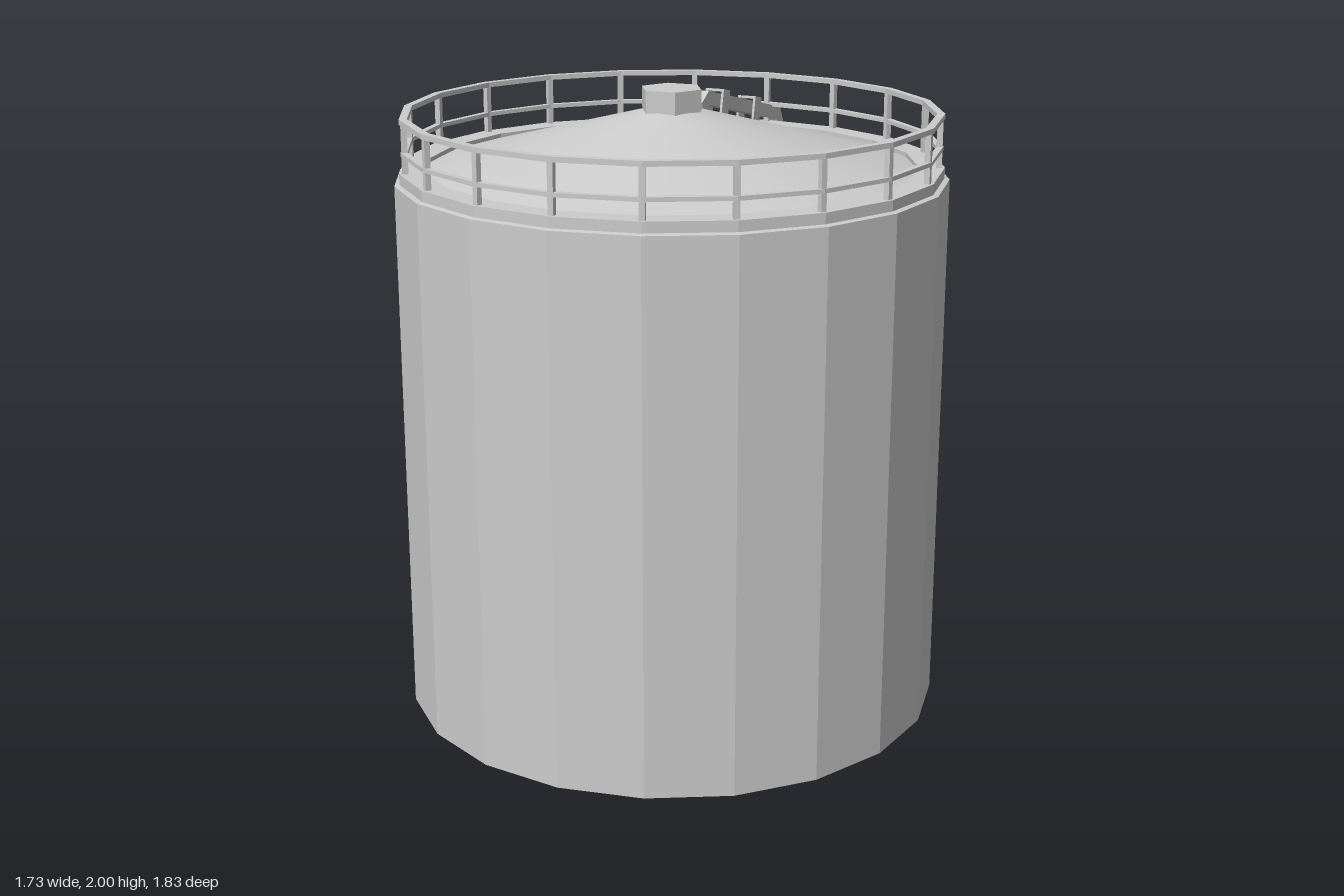
import * as THREE from 'three';

const SIDES = 20;
const flat = new THREE.MeshStandardMaterial({ color: 0xcccccc, flatShading: true, side: THREE.DoubleSide });
const smooth = new THREE.MeshStandardMaterial({ color: 0xcccccc, side: THREE.DoubleSide });

function add(parent, name, geometry, material = flat) {
  const mesh = new THREE.Mesh(geometry, material);
  mesh.name = name;
  parent.add(mesh);
  return mesh;
}

const toPoints = (pairs) => pairs.map(([a, b]) => new THREE.Vector2(a, b));
const ring = (pairs) => new THREE.LatheGeometry(toPoints(pairs), SIDES);

// Closed ring of rectangular section
const band = (r0, r1, y0, y1) => ring([[r0, y0], [r1, y0], [r1, y1], [r0, y1], [r0, y0]]);

// Outline extruded symmetrically about its own plane
function slab(pairs, depth) {
  const g = new THREE.ExtrudeGeometry(new THREE.Shape(toPoints(pairs)), { depth, bevelEnabled: false });
  return g.translate(0, 0, -depth / 2);
}

export function createModel() {
  const model = new THREE.Group();
  model.name = 'storageTank';

  // The tank sits slightly forward, as the pipe hangs off its back
  const tank = new THREE.Group();
  tank.name = 'tank';
  tank.position.z = 0.047;
  model.add(tank);

  // Shell open at the bottom, with a narrow ledge under the deck
  add(tank, 'shell', ring([[0.866, 0.01], [0.866, 1.728], [0.845, 1.732]]));
  add(tank, 'deck', band(0.77, 0.85, 1.732, 1.765));

  // Shallow conical roof
  const roof = new THREE.ConeGeometry(0.772, 0.204, SIDES, 4, true);
  add(tank, 'roof', roof.translate(0, 1.853, 0), smooth);

  // Hexagonal vent cap with corners on the x axis
  const cap = new THREE.CylinderGeometry(0.1, 0.1, 0.072, 6).rotateY(Math.PI / 2);
  add(tank, 'ventCap', cap.translate(0, 1.964, 0));

  // Railing: two rails and a post at every corner
  const railing = new THREE.Group();
  railing.name = 'railing';
  tank.add(railing);
  add(railing, 'topRail', band(0.82, 0.845, 1.916, 1.932));
  add(railing, 'midRail', band(0.822, 0.843, 1.818, 1.831));
  const postGeometry = new THREE.BoxGeometry(0.018, 0.16, 0.018);
  for (let i = 0; i < SIDES; i++) {
    const a = (i / SIDES) * Math.PI * 2;
    const post = add(railing, 'railingPost', postGeometry);
    post.position.set(Math.sin(a) * 0.831, 1.842, Math.cos(a) * 0.831);
    post.rotation.y = a;
  }

  // Square pipe up the back and over the roof, drawn as (z, y) and extruded along x
  const pipe = slab([
    [-0.853, 0], [-0.853, 1.723], [-0.826, 1.767], [-0.206, 1.909], [-0.165, 1.887],
    [-0.145, 1.925], [-0.2, 1.955], [-0.853, 1.805], [-0.896, 1.735], [-0.896, 0],
  ], 0.045).rotateY(-Math.PI / 2);
  add(model, 'pipe', pipe);

  // U-shaped straps; the legs point down -y around a pipe running along z
  const strapGeometry = slab([
    [-0.032, -0.058], [-0.032, 0.038], [0.032, 0.038], [0.032, -0.058],
    [0.024, -0.058], [0.024, 0.03], [-0.024, 0.03], [-0.024, -0.058],
  ], 0.057);
  const addStrap = (y, z, tilt) => {
    const strap = add(model, 'pipeStrap', strapGeometry);
    strap.position.set(0, y, z);
    strap.rotation.x = tilt;
  };
  for (const y of [0.413, 0.957, 1.443]) addStrap(y, -0.875, -Math.PI / 2);
  for (const z of [-0.325, -0.61]) addStrap(1.932 + (z + 0.2) * 0.23, z, -0.226);

  return model;
}
